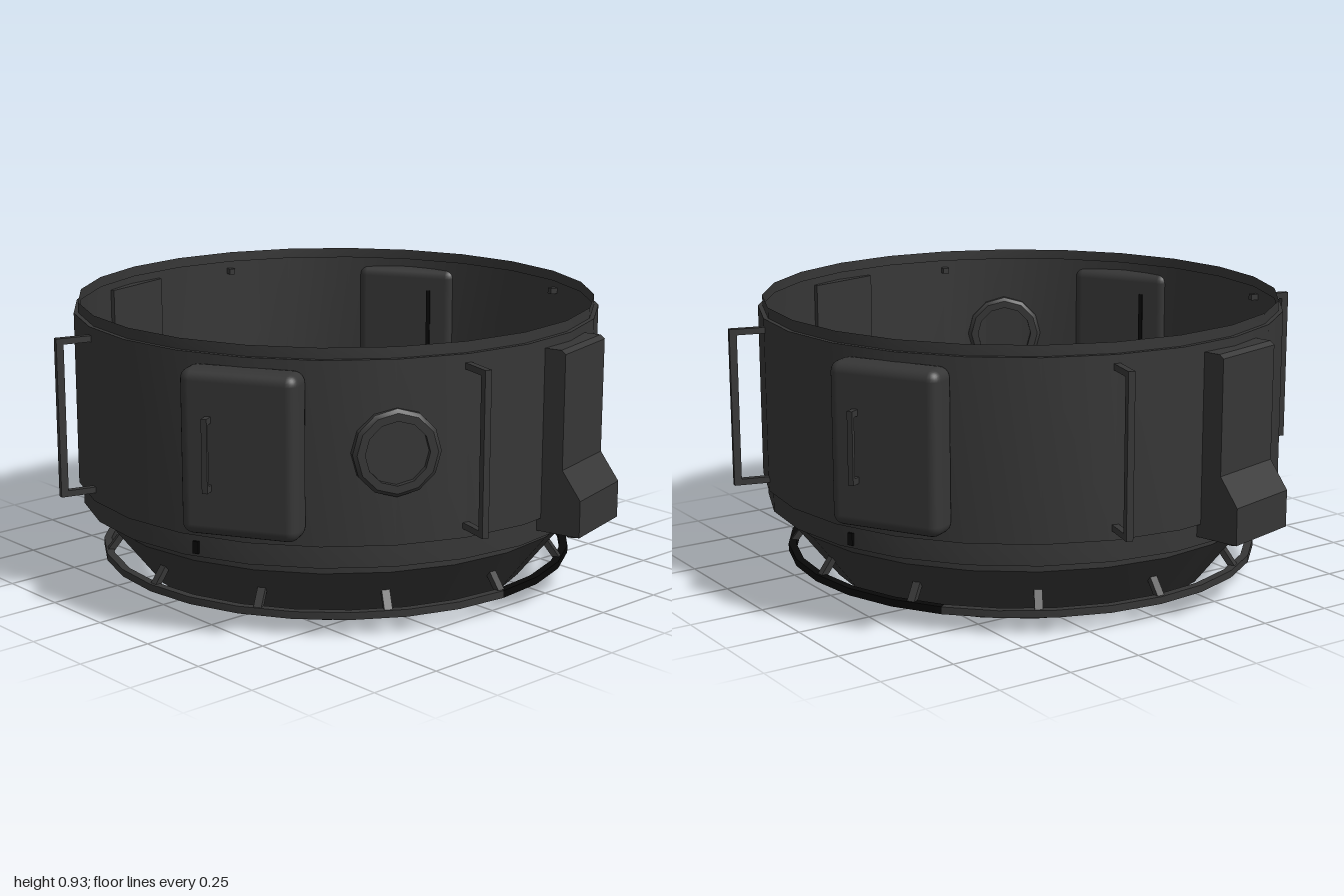
import * as THREE from 'three';
import { toCreasedNormals } from 'three/addons/utils/BufferGeometryUtils.js';
import { RoundedBoxGeometry } from 'three/addons/geometries/RoundedBoxGeometry.js';

const metal = new THREE.MeshStandardMaterial({ color: 0x363636, side: THREE.DoubleSide });
metal.name = 'dark grey metal';
const black = new THREE.MeshStandardMaterial({ color: 0x080808, side: THREE.DoubleSide });
black.name = 'black';

const rad = THREE.MathUtils.degToRad;

function add(parent, name, geometry, material, x = 0, y = 0, z = 0) {
  const mesh = new THREE.Mesh(geometry, material);
  mesh.name = name;
  mesh.position.set(x, y, z);
  parent.add(mesh);
  return mesh;
}

// Revolved [radius, height] profile with crisp bands and smooth sides
function revolve(points, segments, start = 0, length = Math.PI * 2) {
  const profile = points.map(([r, y]) => new THREE.Vector2(r, y));
  return toCreasedNormals(new THREE.LatheGeometry(profile, segments, start, length), 0.4);
}

// Group turned around the ring: local +z points outward
function station(parent, name, degrees) {
  const group = new THREE.Group();
  group.name = name;
  group.rotation.y = rad(degrees);
  parent.add(group);
  return group;
}

// Vertical grab rail on two standoffs
function addGrabRail(root, degrees) {
  const g = station(root, 'grabRail', degrees);
  add(g, 'railBar', new THREE.BoxGeometry(0.022, 0.52, 0.024), metal, 0, 0.608, 0.98);
  for (const y of [0.358, 0.858]) {
    add(g, 'railStandoff', new THREE.BoxGeometry(0.022, 0.02, 0.13), metal, 0, y, 0.915);
  }
}

// Flat housing with a flared lower lip and outlets underneath
function addVent(root, degrees) {
  const g = station(root, 'ventHousing', degrees);
  const side = new THREE.Shape();
  [[0.845, 0.275], [0.995, 0.275], [0.995, 0.395], [0.93, 0.485], [0.93, 0.855], [0.915, 0.867], [0.845, 0.867]]
    .forEach(([r, y], i) => (i ? side.lineTo(-r, y) : side.moveTo(-r, y)));
  const geometry = new THREE.ExtrudeGeometry(side, { depth: 0.273, bevelEnabled: false });
  geometry.translate(0, 0, -0.1365);
  geometry.rotateY(Math.PI / 2);
  add(g, 'ventBody', geometry, metal);
  for (let i = 0; i < 4; i++) {
    add(g, 'ventOutlet', new THREE.CylinderGeometry(0.02, 0.02, 0.016, 10), metal, -0.09 + i * 0.06, 0.27, 0.95);
  }
}

// Rounded equipment box with a small pull handle
function addEquipmentBox(root, degrees) {
  const g = station(root, 'equipmentBox', degrees);
  add(g, 'boxBody', new RoundedBoxGeometry(0.374, 0.515, 0.11, 3, 0.035), metal, 0, 0.607, 0.895);
  add(g, 'boxHandle', new THREE.BoxGeometry(0.018, 0.23, 0.012), metal, -0.09, 0.61, 0.978);
  for (const y of [0.505, 0.715]) {
    add(g, 'handleFoot', new THREE.BoxGeometry(0.018, 0.02, 0.035), metal, -0.09, y, 0.958);
  }
  add(g, 'innerSlot', new THREE.BoxGeometry(0.014, 0.37, 0.008), black, -0.09, 0.6, 0.838);
}

// Raised round window frame passing through the wall
function addPorthole(root, degrees) {
  const g = station(root, 'porthole', degrees);
  const frame = revolve(
    [[0.1, -0.025], [0.125, -0.025], [0.137, -0.015], [0.137, 0.015], [0.125, 0.025], [0.1, 0.025], [0.1, -0.025]], 12);
  frame.rotateX(Math.PI / 2);
  add(g, 'portholeFrame', frame, metal, 0, 0.61, 0.87);
  const pane = new THREE.CylinderGeometry(0.102, 0.102, 0.008, 12);
  pane.rotateX(Math.PI / 2);
  add(g, 'portholePane', pane, metal, 0, 0.61, 0.872);
}

export function createModel() {
  const root = new THREE.Group();
  root.name = 'ringModule';

  // Thin open shell with stepped bands and a tapered skirt
  add(root, 'shell', revolve([
    [0.645, 0], [0.81, 0.21], [0.81, 0.245], [0.862, 0.245], [0.862, 0.318],
    [0.877, 0.318], [0.877, 0.895], [0.862, 0.895], [0.862, 0.93],
  ], 24), metal);

  // Lower hoop: one black arc, the rest grey
  const hoop = [[0.772, 0.056], [0.798, 0.056], [0.798, 0.08], [0.772, 0.08], [0.772, 0.056]];
  add(root, 'hoopBlackArc', revolve(hoop, 10, 0, rad(128)), black);
  add(root, 'hoopGreyArc', revolve(hoop, 18, rad(128), rad(232)), metal);

  // Slanted struts joining the hoop to the skirt
  for (let i = 0; i < 12; i++) {
    const g = station(root, 'hoopStrut', i * 30);
    const strut = add(g, 'strutBar', new THREE.BoxGeometry(0.026, 0.08, 0.02), metal, 0, 0.1, 0.76);
    strut.rotation.x = -0.65;
  }

  for (let i = 0; i < 4; i++) {
    addGrabRail(root, -15 + i * 90);
    // Small pins under the shoulder
    const g = station(root, 'shoulderPin', 18 + i * 90);
    add(g, 'pin', new THREE.BoxGeometry(0.02, 0.04, 0.06), black, 0, 0.275, 0.835);
  }

  for (const turn of [0, 180]) {
    addVent(root, 15 + turn);
    addEquipmentBox(root, -60 + turn);
  }
  addPorthole(root, -30);

  return root;
}
